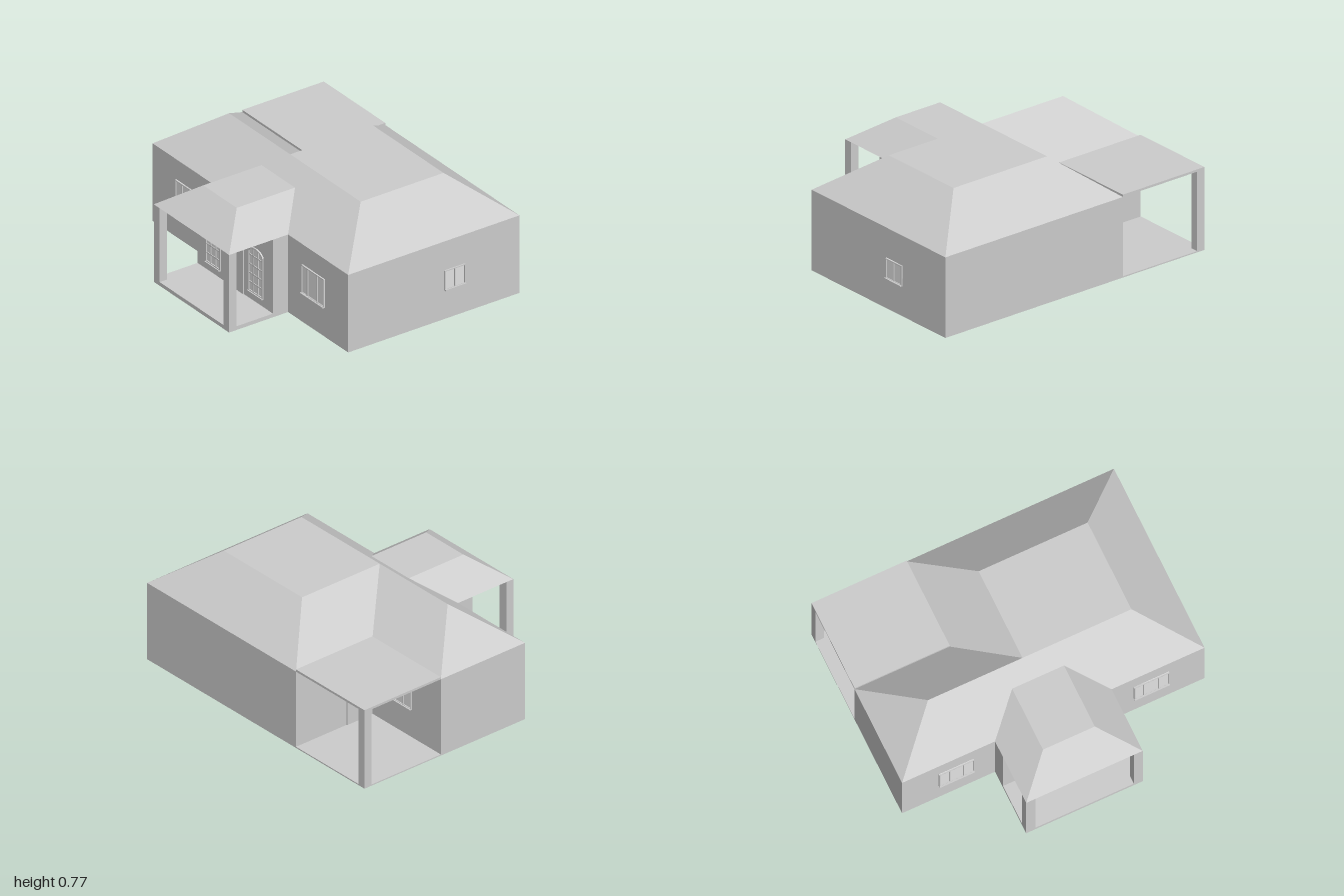
import * as THREE from 'three';

const material = (name, color) => {
  const m = new THREE.MeshStandardMaterial({ color });
  m.name = name;
  return m;
};

export function createModel() {
  const house = new THREE.Group();
  house.name = 'house';
  const plaster = material('plaster grey', 0xcccccc);
  const glass = material('pale glass', 0xe2e2e2);

  const add = (parent, name, geometry, mat = plaster) => {
    const mesh = new THREE.Mesh(geometry, mat);
    mesh.name = name;
    parent.add(mesh);
    return mesh;
  };
  // Box given by its two opposite corners
  const box = (parent, name, x0, x1, y0, y1, z0, z1, mat) => {
    const g = new THREE.BoxGeometry(x1 - x0, y1 - y0, z1 - z0);
    g.translate((x0 + x1) / 2, (y0 + y1) / 2, (z0 + z1) / 2);
    return add(parent, name, g, mat);
  };
  // Flat faces, each a list of corners in counter-clockwise order
  const faces = (name, polygons) => {
    const points = [];
    for (const p of polygons)
      for (let i = 1; i < p.length - 1; i++) points.push(...p[0], ...p[i], ...p[i + 1]);
    const g = new THREE.BufferGeometry();
    g.setAttribute('position', new THREE.Float32BufferAttribute(points, 3));
    g.computeVertexNormals();
    return add(house, name, g);
  };

  // Walls: stepped footprint with the entrance bay in front and a patio notch behind
  const eave = 0.525;
  const footprint = new THREE.Shape([
    [-1, 0.41], [-0.39, 0.41], [-0.39, 0.52], [0.375, 0.52], [0.375, 0.41],
    [0.985, 0.41], [0.985, -0.84], [-0.375, -0.84], [-0.375, -0.245], [-1, -0.245],
  ].map(([x, z]) => new THREE.Vector2(x, -z)));
  const walls = new THREE.ExtrudeGeometry(footprint, { depth: eave, bevelEnabled: false });
  walls.rotateX(-Math.PI / 2);
  add(house, 'walls', walls);

  // Main hipped roof with a flat top and a wing over the left side
  const ridge = 0.77;
  const A = [-1, eave, 0.41], B = [0.985, eave, 0.41], C = [0.985, eave, -0.84];
  const D = [-0.375, eave, -0.84], E = [-0.375, eave, -0.245], F = [-1, eave, -0.245];
  const a = [-0.675, ridge, 0.085], b = [0.66, ridge, 0.085], c = [0.66, ridge, -0.52];
  const d = [-0.055, ridge, -0.52], e = [-0.055, ridge, 0.085];
  faces('mainRoof', [
    [A, B, b, a], [B, C, c, b], [C, D, d, c], [D, E, e, d], [E, F, a, e], [F, A, a], [b, c, d, e],
  ]);

  // Porch roof running back into the front slope
  const top = 0.68;
  const P = [-0.39, eave, 0.84], Q = [0.375, eave, 0.84], R = [0.375, eave, 0.41], S = [-0.39, eave, 0.41];
  const p = [-0.18, top, 0.63], q = [0.16, top, 0.63], r = [0.16, top, 0.204], s = [-0.18, top, 0.204];
  faces('porchRoof', [[P, Q, q, p], [Q, R, r, q], [S, P, p, s], [p, q, r, s], [P, S, R, Q]]);

  // Porch and patio floors, posts and the flat patio roof
  box(house, 'porchFloor', -0.39, 0.375, 0, 0.025, 0.51, 0.84);
  box(house, 'rightPorchPost', -0.39, -0.33, 0, eave, 0.785, 0.84);
  box(house, 'leftPorchPost', 0.317, 0.375, 0, eave, 0.785, 0.84);
  box(house, 'patioFloor', -1, -0.37, 0, 0.008, -0.84, -0.24);
  box(house, 'patioPost', -1, -0.945, 0, eave, -0.84, -0.785);
  box(house, 'patioRoof', -1, -0.375, eave, 0.54, -0.84, -0.245);

  // Wall fitting in its own frame: origin on the wall, facing +z
  const fitting = (name, x, z, turn = 0) => {
    const g = new THREE.Group();
    g.name = name;
    g.position.set(x, 0, z);
    g.rotation.y = turn;
    house.add(g);
    return g;
  };
  const bar = 0.006;

  // Plain window with upright bars at the given fractions of its width
  const plainWindow = (name, x, z, turn, w, y0, y1, splits, sill) => {
    const g = fitting(name, x, z, turn);
    box(g, 'pane', -w / 2, w / 2, y0, y1, -0.002, 0.003, glass);
    for (const t of [0, ...splits, 1]) {
      const u = -w / 2 + bar / 2 + t * (w - bar);
      box(g, 'upright', u - bar / 2, u + bar / 2, y0, y1, 0, 0.01);
    }
    for (const y of [y0, y1 - bar]) box(g, 'rail', -w / 2, w / 2, y, y + bar, 0, 0.01);
    if (sill) box(g, 'sill', -w / 2, w / 2, y0 - 0.004, y0 + 0.004, 0, 0.02);
  };
  plainWindow('rightFrontWindow', -0.645, 0.41, 0, 0.23, 0.2, 0.39, [0.3, 0.7], true);
  plainWindow('leftFrontWindow', 0.635, 0.41, 0, 0.23, 0.2, 0.39, [0.26, 0.7], true);
  plainWindow('sideWindow', 0.985, -0.365, Math.PI / 2, 0.15, 0.2, 0.33, [0.5], true);
  plainWindow('patioWindow', -0.62, -0.245, Math.PI, 0.23, 0.2, 0.39, [0.3, 0.7], true);

  // Arched window with a grid of glazing bars
  const archShape = (w, y0, spring, peak) => {
    const shape = new THREE.Shape();
    shape.moveTo(-w, y0);
    shape.lineTo(w, y0);
    shape.lineTo(w, spring);
    shape.absellipse(0, spring, w, peak - spring, 0, Math.PI, false);
    shape.closePath();
    return shape;
  };
  const archedWindow = (name, x) => {
    const g = fitting(name, x, 0.52);
    const w = 0.074;
    const pane = new THREE.ExtrudeGeometry(archShape(w, 0.08, 0.35, 0.39), { depth: 0.003, bevelEnabled: false });
    add(g, 'pane', pane, glass);
    const rim = archShape(w, 0.08, 0.35, 0.39);
    rim.holes.push(archShape(w - 0.008, 0.09, 0.35, 0.382));
    add(g, 'rim', new THREE.ExtrudeGeometry(rim, { depth: 0.01, bevelEnabled: false }));
    for (const u of [-0.025, 0.025]) box(g, 'upright', u - 0.004, u + 0.004, 0.085, 0.38, 0, 0.008);
    for (const y of [0.145, 0.205, 0.265, 0.33]) box(g, 'rail', -w, w, y - 0.004, y + 0.004, 0, 0.008);
    box(g, 'sill', -w, w, 0.076, 0.084, 0, 0.018);
  };
  archedWindow('rightArchedWindow', -0.225);
  archedWindow('leftArchedWindow', 0.207);

  // Doors with lever handles
  const door = (name, x, z, turn, y0) => {
    const g = fitting(name, x, z, turn);
    box(g, 'doorLeaf', -0.085, 0.085, y0, 0.39, -0.002, 0.005);
    box(g, 'handleStem', -0.069, -0.063, 0.203, 0.21, 0, 0.018);
    box(g, 'handleLever', -0.07, -0.042, 0.204, 0.21, 0.012, 0.018);
  };
  door('frontDoor', -0.005, 0.52, 0, 0.025);
  door('patioDoor', -0.375, -0.36, -Math.PI / 2, 0.008);

  return house;
}
